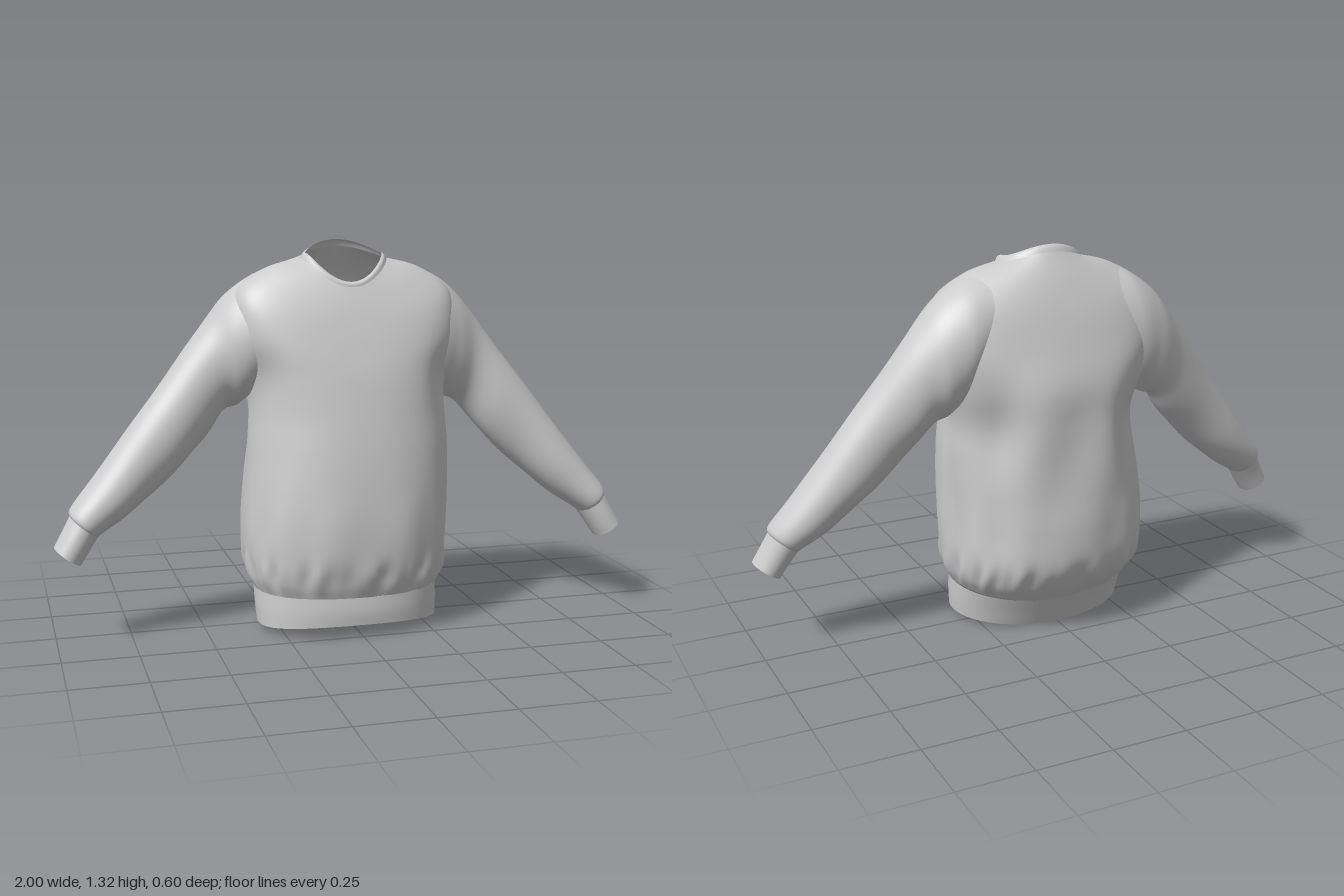
import * as THREE from 'three';

const material = new THREE.MeshStandardMaterial({ color: 0xcccccc, side: THREE.DoubleSide });

// Catmull-Rom sampling of a list of number rows
function sample(rows, t) {
  const n = rows.length - 1;
  const k = Math.min(Math.floor(t * n), n - 1);
  const f = t * n - k;
  const at = (i) => rows[Math.max(0, Math.min(n, i))];
  return rows[0].map((_, c) => {
    const [p, q, r, s] = [at(k - 1)[c], at(k)[c], at(k + 1)[c], at(k + 2)[c]];
    return q + 0.5 * f * (r - p + f * (2 * p - 5 * q + 4 * r - s + f * (3 * (q - r) + s - p)));
  });
}

// Smooth open tube through cross-sections; point(row, angle, t) gives [x, y, z]
function loft(name, rows, point, segs, steps) {
  const pos = [], index = [];
  for (let i = 0; i <= steps; i++) {
    const row = sample(rows, i / steps);
    for (let j = 0; j < segs; j++) {
      pos.push(...point(row, (j / segs) * Math.PI * 2, i / steps));
      if (i === steps) continue;
      const a = i * segs + j, b = i * segs + ((j + 1) % segs);
      index.push(a, a + segs, b, b, a + segs, b + segs);
    }
  }
  const g = new THREE.BufferGeometry();
  g.setAttribute('position', new THREE.Float32BufferAttribute(pos, 3));
  g.setIndex(index);
  g.computeVertexNormals();
  const mesh = new THREE.Mesh(g, material);
  mesh.name = name;
  return mesh;
}

const bump = (v, centre, width) => Math.exp(-(((v - centre) / width) ** 2));

// Torso section: [yFront, ySide, yBack, halfWidth, zFront, zBack, squareness]
function torsoPoint([yF, yS, yB, w, zF, zB, e], a) {
  const c = Math.cos(a), s = Math.sin(a);
  const round = (v) => Math.sign(v) * Math.abs(v) ** (2 / e);
  const y = yS + ((s > 0 ? yF : yB) - yS) * s * s;
  const z = (zF + zB) / 2 + ((zF - zB) / 2) * round(s);
  // slight sideways sway of the cloth
  const sway = 0.008 * (2 * bump(y, 0.68, 0.3) - 1);
  return [w * round(c) + sway, y, z];
}

// Torso with gathers above the hem, hollows by the armpits and drape on the back
function foldedTorso(row, a) {
  const [x, y, z] = torsoPoint(row, a);
  const c = Math.cos(a), s = Math.sin(a);
  let d = 0.006 * bump(y, 0.21, 0.05) * (Math.sin(a * 17) + 0.7 * Math.sin(a * 29 + 1));
  d += 0.003 * bump(y, 0.35, 0.13) * Math.sin(a * 11 + 0.5);
  if (s < 0) {
    d += 0.007 * s * s * bump(y, 0.68, 0.25) * Math.sin(x * 18 + y * 7);
    d -= 0.03 * bump(y, 0.72, 0.14) * bump(Math.abs(x), 0.26, 0.08);
    d -= 0.03 * bump(y, 0.45, 0.25) * bump(x, 0.28, 0.12);
  } else {
    d -= 0.016 * bump(y, 0.86, 0.1) * bump(Math.abs(x), 0.32, 0.06);
  }
  return [x + d * c, y, z + d * s];
}

// Sleeve section: [topX, topY, bottomX, bottomY, zCentre, halfDepth]
function sleevePoint(side, folds) {
  return ([tx, ty, bx, by, zc, d], a, t) => {
    const c = Math.cos(a), s = -side * Math.sin(a);
    const wave = folds * Math.sin(Math.PI * t) ** 2 * Math.sin(t * 34 + 2.2 * s + side)
      * (0.3 + 0.7 * bump(c, -0.5, 0.7));
    const r = 1 + wave;
    const x = (tx + bx) / 2 + ((tx - bx) / 2) * c * r;
    const y = (ty + by) / 2 + ((ty - by) / 2) * c * r;
    const z = zc + d * s * r;
    // the right arm hangs slightly higher and further back
    const lift = side < 0 ? Math.max(0, x - 0.5) : 0;
    return [side * x, y + lift * 0.04, z - lift * 0.03];
  };
}

export function createModel() {
  const group = new THREE.Group();

  const hemTop = [0.14, 0.14, 0.11, 0.318, 0.262, -0.2, 2.3];
  const hem = [
    [0.045, 0.022, 0.0, 0.314, 0.262, -0.15, 2.2],
    [0.09, 0.08, 0.055, 0.318, 0.266, -0.175, 2.2],
    hemTop,
  ];
  const neckBase = [1.165, 1.256, 1.292, 0.148, 0.132, -0.098, 2];
  const body = [
    hemTop,
    [0.19, 0.19, 0.18, 0.34, 0.28, -0.255, 2.4],
    [0.27, 0.27, 0.26, 0.352, 0.297, -0.294, 2.4],
    [0.38, 0.38, 0.38, 0.355, 0.3, -0.3, 2.4],
    [0.5, 0.5, 0.5, 0.352, 0.291, -0.294, 2.4],
    [0.63, 0.63, 0.63, 0.348, 0.276, -0.287, 2.35],
    [0.75, 0.75, 0.75, 0.345, 0.256, -0.279, 2.35],
    [0.87, 0.88, 0.87, 0.365, 0.232, -0.268, 2.45],
    [0.97, 1.02, 0.99, 0.39, 0.204, -0.23, 2.7],
    [1.05, 1.15, 1.11, 0.37, 0.178, -0.189, 2.6],
    [1.11, 1.225, 1.21, 0.265, 0.156, -0.145, 2.2],
    neckBase,
  ];
  const collar = [
    neckBase,
    [1.175, 1.27, 1.308, 0.139, 0.13, -0.09, 2],
    [1.182, 1.274, 1.316, 0.13, 0.121, -0.08, 2],
  ];
  group.add(loft('hemBand', hem, torsoPoint, 128, 8));
  group.add(loft('body', body, foldedTorso, 128, 88));
  group.add(loft('collar', collar, torsoPoint, 128, 8));

  // the first sections lie just under the body so the shoulder runs smoothly into the sleeve
  const cuffTop = [0.945, 0.412, 0.855, 0.345, 0.068, 0.071];
  const sleeve = [
    [0.22, 1.23, 0.25, 0.88, -0.02, 0.155],
    [0.31, 1.203, 0.315, 0.81, -0.03, 0.16],
    [0.4, 1.14, 0.37, 0.768, -0.035, 0.143],
    [0.48, 1.045, 0.425, 0.74, -0.036, 0.115],
    [0.6, 0.885, 0.495, 0.65, -0.01, 0.102],
    [0.74, 0.7, 0.62, 0.525, 0.018, 0.097],
    [0.865, 0.535, 0.745, 0.42, 0.042, 0.094],
    [0.94, 0.44, 0.835, 0.36, 0.063, 0.083],
    cuffTop,
  ];
  const cuff = [
    cuffTop,
    [0.972, 0.362, 0.884, 0.301, 0.078, 0.067],
    [1.0, 0.312, 0.915, 0.254, 0.085, 0.064],
  ];
  for (const [side, label] of [[1, 'left'], [-1, 'right']]) {
    group.add(loft(label + 'Sleeve', sleeve, sleevePoint(side, 0.025), 64, 72));
    group.add(loft(label + 'Cuff', cuff, sleevePoint(side, 0), 64, 6));
  }
  return group;
}
